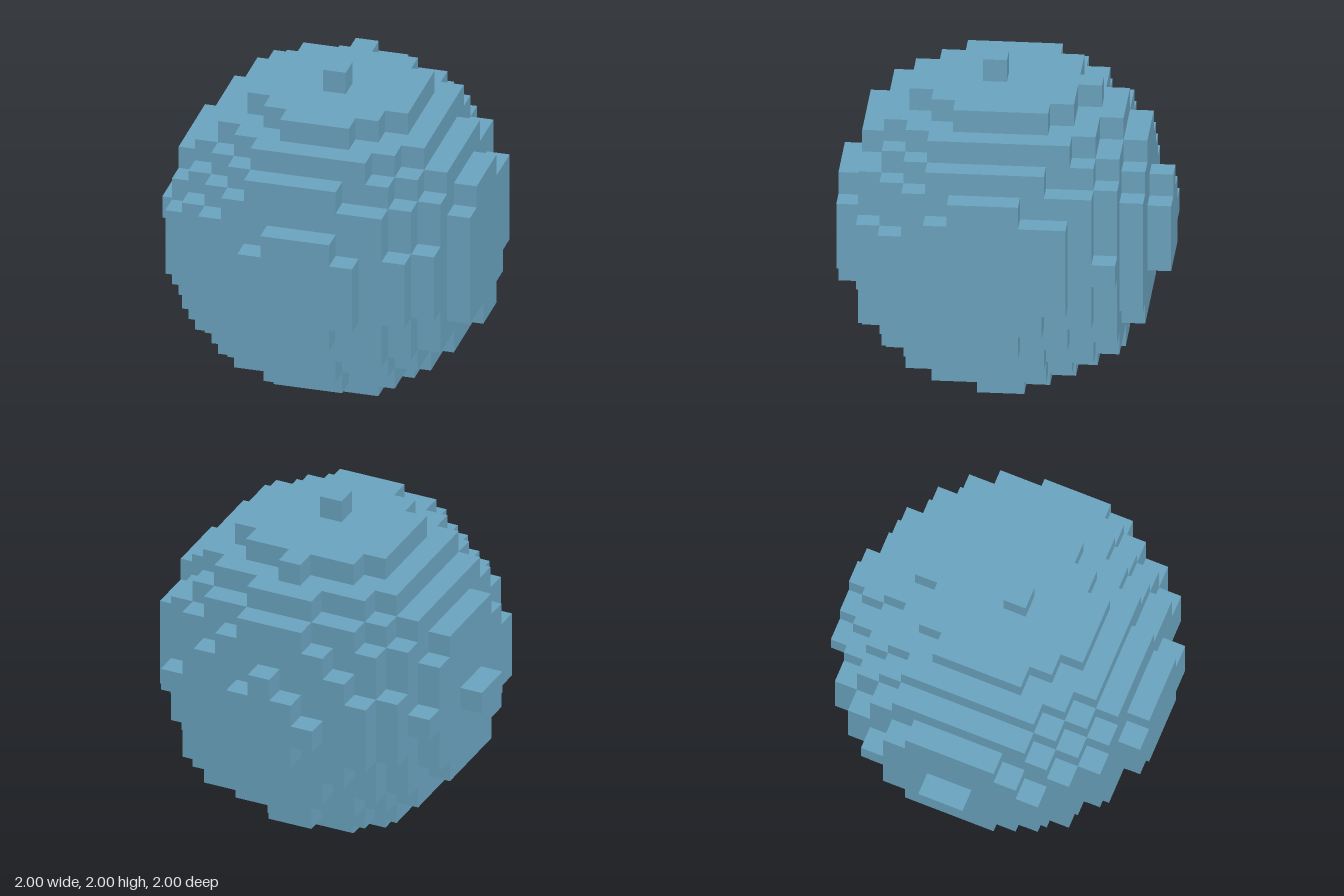
import * as THREE from 'three';
import { mergeGeometries } from 'three/addons/utils/BufferGeometryUtils.js';

const N = 14;          // blocks along each axis
const S = 2 / N;       // block size
const CENTRE = [6.9, 6.085, 6.622]; // ball centre, in block indices
const R2 = 48.15;      // squared radius, in blocks

// A block is solid when its middle lies inside the ball
function solid(x, y, z) {
  if (x === 5 && y === 8 && z === 13) return false; // clipped corner of the front plate
  const dx = x - CENTRE[0], dy = y - CENTRE[1], dz = z - CENTRE[2];
  return dx * dx + dy * dy + dz * dz < R2;
}

// One outward block face for each of the six directions
const FACES = [[1, 0, 0], [-1, 0, 0], [0, 1, 0], [0, -1, 0], [0, 0, 1], [0, 0, -1]].map((d) => {
  const dir = new THREE.Vector3(...d);
  const turn = new THREE.Quaternion().setFromUnitVectors(new THREE.Vector3(0, 0, 1), dir);
  const plane = new THREE.PlaneGeometry(S, S).translate(0, 0, S / 2).applyQuaternion(turn);
  return { d, plane };
});

export function createModel() {
  const group = new THREE.Group();
  group.name = 'blockBall';
  const blue = new THREE.MeshStandardMaterial({ color: 0x6ba4c0 });
  blue.name = 'softBlue';

  // Keep only the faces between a solid block and open air
  const skin = [];
  for (let x = 0; x < N; x++) for (let y = 0; y < N; y++) for (let z = 0; z < N; z++) {
    if (!solid(x, y, z)) continue;
    for (const { d, plane } of FACES) {
      if (solid(x + d[0], y + d[1], z + d[2]) && inside(x + d[0], y + d[1], z + d[2])) continue;
      skin.push(plane.clone().translate((x + 0.5) * S - 1, (y + 0.5) * S, (z + 0.5) * S - 1));
    }
  }
  const ball = new THREE.Mesh(mergeGeometries(skin), blue);
  ball.name = 'ball';
  group.add(ball);
  return group;
}

// True within the block grid
function inside(...cell) {
  return cell.every((i) => i >= 0 && i < N);
}
